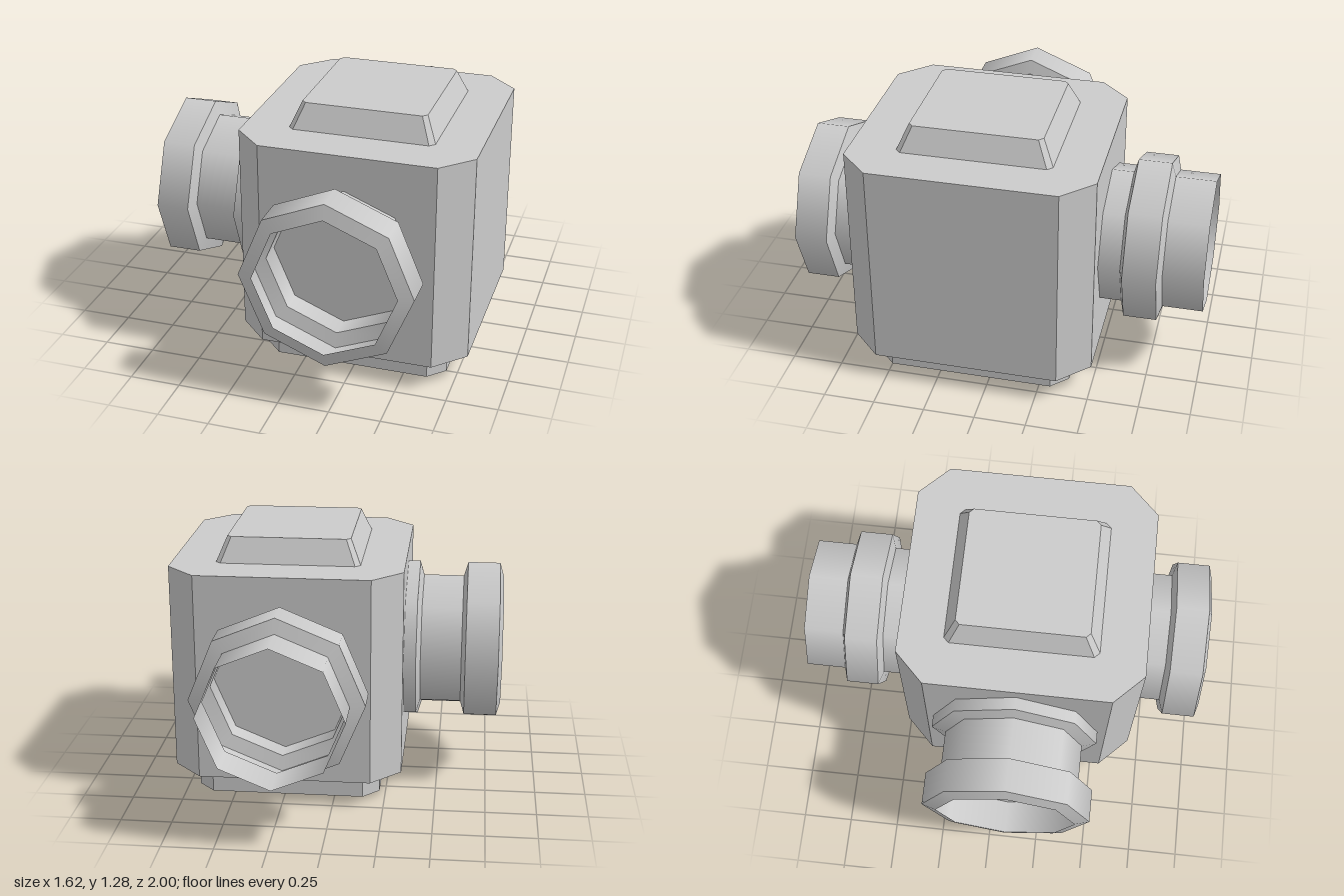
import * as THREE from 'three';
import { mergeGeometries } from 'three/addons/utils/BufferGeometryUtils.js';

const solid = new THREE.MeshStandardMaterial({ color: 0xcccccc });
const shell = new THREE.MeshStandardMaterial({ color: 0xcccccc, side: THREE.DoubleSide });

// Upright block with cut corners; its top may be narrower than its foot.
function block(name, [x0, x1], [y0, y1], [z0, z1], cut, topScale = 1) {
  const a = (x1 - x0) / 2, b = (z1 - z0) / 2, h = y1 - y0;
  const shape = new THREE.Shape([
    [a, -b + cut], [a, b - cut], [a - cut, b], [-a + cut, b],
    [-a, b - cut], [-a, -b + cut], [-a + cut, -b], [a - cut, -b],
  ].map(([x, y]) => new THREE.Vector2(x, y)));
  const geometry = new THREE.ExtrudeGeometry(shape, { depth: h, bevelEnabled: false });
  geometry.rotateX(-Math.PI / 2);
  const p = geometry.attributes.position;
  for (let i = 0; i < p.count; i++) {
    if (p.getY(i) > h / 2) {
      p.setX(i, p.getX(i) * topScale);
      p.setZ(i, p.getZ(i) * topScale);
    }
  }
  geometry.computeVertexNormals();
  const mesh = new THREE.Mesh(geometry, solid);
  mesh.name = name;
  mesh.position.set((x0 + x1) / 2, y0, (z0 + z1) / 2);
  return mesh;
}

// Open eight-sided pipe along +y, one band per [radius, distance] step.
function pipe(name, profile) {
  const bands = profile.slice(1).map(([r1, h1], i) => {
    const [r0, h0] = profile[i];
    return new THREE.CylinderGeometry(r1, r0, h1 - h0, 8, 1, true).translate(0, (h0 + h1) / 2, 0);
  });
  const mesh = new THREE.Mesh(mergeGeometries(bands), shell);
  mesh.name = name;
  return mesh;
}

export function createModel() {
  const model = new THREE.Group();
  model.name = 'pipeJunction';
  const N = 0.342, R = 0.413; // neck and collar radii

  // Housing with its foot and raised lid
  model.add(
    block('base', [-0.22, 0.695], [0, 0.13], [-0.385, 0.58], 0.08),
    block('housing', [-0.33, 0.805], [0.13, 1.165], [-0.5, 0.69], 0.145),
    block('lid', [-0.115, 0.59], [1.165, 1.285], [-0.28, 0.465], 0.025, 0.856),
  );

  // Front pipe ends in a collar
  const front = pipe('frontPipe', [[N, 0], [N, 0.11], [R, 0.13], [R, 0.29], [N, 0.31]]);
  front.rotation.x = Math.PI / 2;
  front.position.set(0.228, 0.65, 0.69);

  // Back pipe has a collar partway along
  const back = pipe('backPipe', [[N, 0], [N, 0.105], [R, 0.125], [R, 0.285], [N, 0.305], [N, 0.5]]);
  back.rotation.x = -Math.PI / 2;
  back.position.set(0.228, 0.65, -0.5);

  // Right-hand pipe has a collar at each end
  const side = pipe('rightPipe', [[R, 0], [R, 0.06], [N, 0.08], [N, 0.28], [R, 0.3], [R, 0.46], [N, 0.48]]);
  side.rotation.z = Math.PI / 2;
  side.position.set(-0.33, 0.685, 0.09);

  model.add(front, back, side);
  return model;
}
